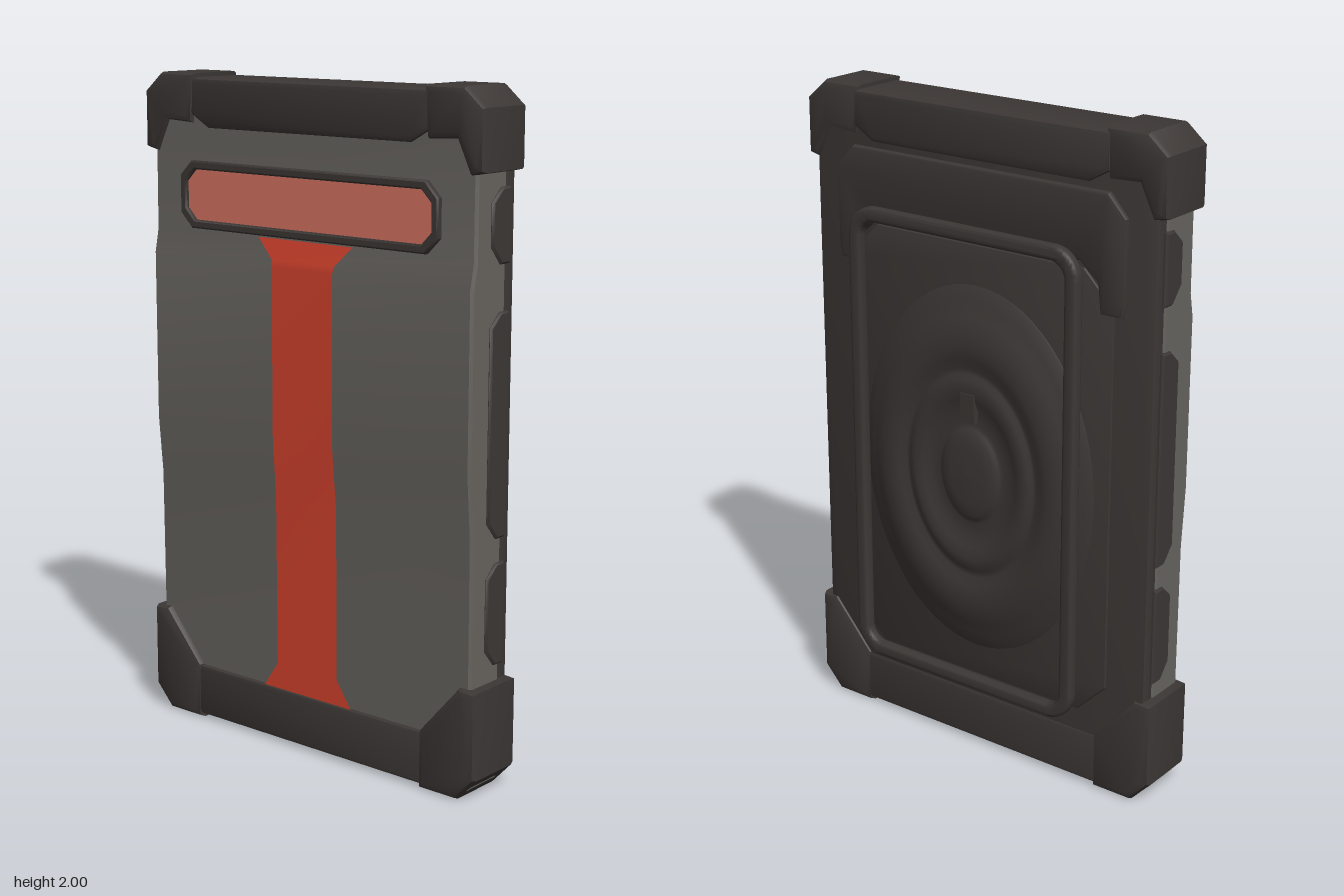
import * as THREE from 'three';
import { toCreasedNormals } from 'three/addons/utils/BufferGeometryUtils.js';

const material = (name, color, extra = {}) => {
  const m = new THREE.MeshStandardMaterial({ color, ...extra });
  m.name = name;
  return m;
};
const shapeOf = (pts) => new THREE.Shape(pts.map(([x, y]) => new THREE.Vector2(x, y)));
const mirrorX = (pts) => pts.map(([x, y]) => [-x, y]).reverse();
// closed outline from its right half, listed from bottom to top
const symmetric = (half) => [...half, ...mirrorX(half)];

// rectangle with cut corners
const octagon = (w, y0, y1, c) => symmetric([[w - c, y0], [w, y0 + c], [w, y1 - c], [w - c, y1]]);

function roundedRect(w, y0, y1, r) {
  const s = new THREE.Shape();
  s.absarc(w - r, y0 + r, r, -Math.PI / 2, 0);
  s.absarc(w - r, y1 - r, r, 0, Math.PI / 2);
  s.absarc(-w + r, y1 - r, r, Math.PI / 2, Math.PI);
  s.absarc(-w + r, y0 + r, r, Math.PI, Math.PI * 1.5);
  s.closePath();
  return s;
}

// bevelled extrusion that stays inside its outline, from z0 to z1
function prism(shape, z0, z1, bevel, segments = 2) {
  const g = new THREE.ExtrudeGeometry(shape, {
    depth: z1 - z0 - 2 * bevel, bevelEnabled: bevel > 0, bevelSize: bevel,
    bevelThickness: bevel, bevelOffset: -bevel, bevelSegments: segments, curveSegments: 10,
  });
  g.translate(0, 0, z0 + bevel);
  return toCreasedNormals(g, 0.6);
}

// prism across the width, drawn from [z, y] points
const crossPrism = (pts, halfWidth, bevel) =>
  prism(shapeOf(pts.map(([z, y]) => [-z, y])), -halfWidth, halfWidth, bevel, 1).rotateY(Math.PI / 2);

// gentle bulge of the front: [y, z]
const FRONT = [[0.03, 0.122], [0.77, 0.126], [0.95, 0.141], [1.46, 0.141], [1.53, 0.127], [1.97, 0.124]];
function frontZ(y) {
  for (let i = 1; i < FRONT.length; i++) {
    const [y0, z0] = FRONT[i - 1], [y1, z1] = FRONT[i];
    if (y <= y1) return z0 + (z1 - z0) * (y - y0) / (y1 - y0);
  }
  return 0.124;
}

export function createModel() {
  const dark = material('dark rubber', 0x3c3735);
  const grey = material('grey panel', 0x67645f);
  const red = material('red strap', 0xd6432e, { side: THREE.DoubleSide });
  const salmon = material('salmon window', 0xd67462);

  const model = new THREE.Group();
  model.name = 'ruggedCase';
  const add = (name, geometry, mat) => {
    const mesh = new THREE.Mesh(geometry, mat);
    mesh.name = name;
    model.add(mesh);
    return mesh;
  };

  // body: grey front half and dark back half
  add('frontPanel', crossPrism([[-0.01, 0.03], ...FRONT.map(([y, z]) => [z, y]), [-0.01, 1.97]], 0.603, 0.008), grey);
  add('backShell', prism(shapeOf(octagon(0.6, 0.03, 1.97, 0.03)), -0.052, 0, 0.012), dark);

  // grip pads showing on both sides
  [[0.38, 0.68], [0.75, 1.39], [1.52, 1.73]].forEach(([y0, y1]) => {
    add('sideGrips', crossPrism([[-0.02, y0], [0.02, y0], [0.062, y0 + 0.05],
      [0.062, y1 - 0.04], [0.02, y1], [-0.02, y1]], 0.611, 0.006), dark);
  });

  // end bars
  add('topBar', prism(shapeOf(symmetric([[0.38, 1.84], [0.45, 1.88], [0.45, 1.988]])), -0.064, 0.136, 0.018), dark);
  add('bottomBar', prism(shapeOf(symmetric([[0.45, 0.01], [0.45, 0.172]])), -0.058, 0.137, 0.014), dark);

  // corner bumpers
  const topCorner = [[0.44, 1.855], [0.54, 1.86], [0.585, 1.765], [0.63, 1.775], [0.63, 1.945], [0.565, 2], [0.43, 2]];
  const bottomCorner = [[0.43, 0], [0.565, 0], [0.63, 0.07], [0.63, 0.33], [0.57, 0.335], [0.43, 0.175]];
  for (const mirror of [(p) => p, mirrorX]) {
    add('topCorner', prism(shapeOf(mirror(topCorner)), -0.06, 0.143, 0.02), dark);
    add('bottomCorner', prism(shapeOf(mirror(bottomCorner)), -0.064, 0.145, 0.022), dark);
  }

  // framed window
  const frame = shapeOf(octagon(0.485, 1.545, 1.745, 0.045));
  frame.holes.push(new THREE.Path(shapeOf(octagon(0.46, 1.57, 1.72, 0.035)).getPoints()));
  add('windowFrame', prism(frame, 0.11, 0.143, 0.005, 1), dark);
  add('windowPane', prism(shapeOf(octagon(0.465, 1.565, 1.725, 0.035)), 0.124, 0.131, 0), salmon);

  // strap with flared ends, following the front bulge: [y, half width]
  const rows = [[0.17, 0.17], [0.25, 0.117], [0.77, 0.117], [0.95, 0.115], [1.46, 0.115], [1.48, 0.118], [1.54, 0.178]];
  const pos = [], index = [];
  rows.forEach(([y, w], i) => {
    const z = frontZ(y) + 0.005;
    pos.push(-w, y, z, w, y, z);
    const a = 2 * i;
    if (i) index.push(a - 2, a - 1, a + 1, a - 2, a + 1, a);
  });
  const strap = new THREE.BufferGeometry();
  strap.setAttribute('position', new THREE.Float32BufferAttribute(pos, 3));
  strap.setIndex(index);
  strap.computeVertexNormals();
  add('strap', strap, red);

  // raised plates on the back
  add('backPlate', prism(shapeOf(octagon(0.47, 0.24, 1.6, 0.1)), -0.06, -0.04, 0.008), dark);
  add('backYoke', prism(shapeOf(symmetric([[0.36, 1.62], [0.42, 1.57], [0.43, 1.48], [0.5, 1.48],
    [0.51, 1.52], [0.51, 1.76], [0.45, 1.825]])), -0.07, -0.04, 0.012), dark);

  // oval turntable: [radius, height]
  const profile = [[1, -0.01], [0.97, 0.008], [0.9, 0.016], [0.83, 0.033], [0.75, 0.046], [0.67, 0.049], [0.61, 0.043],
    [0.56, 0.034], [0.53, 0.034], [0.51, 0.044], [0.46, 0.047], [0.4, 0.042], [0.35, 0.03],
    [0.27, 0.029], [0.245, 0.034], [0.22, 0.044], [0.15, 0.049], [0, 0.051]];
  const disc = new THREE.LatheGeometry(profile.map(([r, h]) => new THREE.Vector2(r, h)), 64);
  disc.rotateX(-Math.PI / 2).scale(0.43, 0.585, 1);
  add('turntable', disc, dark).position.set(0, 0.91, -0.056);
  const latch = new THREE.BoxGeometry(0.05, 0.09, 0.03);
  add('turntableLatch', latch, dark).position.set(0, 1.12, -0.09);

  // hand loop behind the turntable
  const loop = roundedRect(0.407, 0.235, 1.675, 0.09);
  loop.holes.push(new THREE.Path(roundedRect(0.363, 0.279, 1.631, 0.05).getPoints(10)));
  add('handLoop', prism(loop, -0.147, -0.109, 0.012, 3), dark);

  return model;
}
